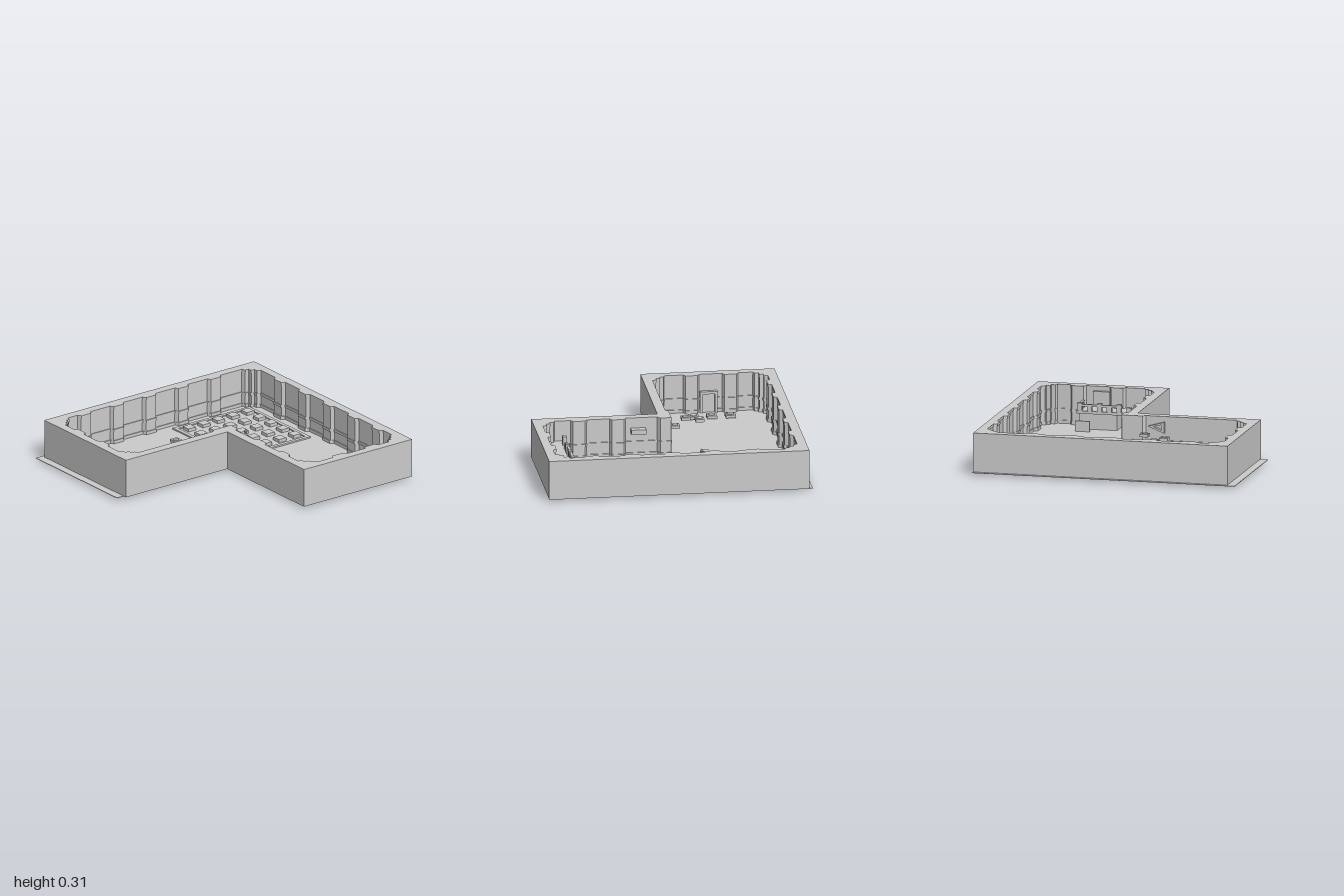
import * as THREE from 'three';

const mat = new THREE.MeshStandardMaterial({ color: 0xcccccc, flatShading: true, side: THREE.DoubleSide });

export function createModel() {
  const root = new THREE.Group();

  const add = (name, geometry) => {
    const m = new THREE.Mesh(geometry, mat);
    m.name = name;
    root.add(m);
    return m;
  };
  // Box given by its limits on each axis
  const box = (name, x0, x1, y0, y1, z0, z1) => {
    const m = add(name, new THREE.BoxGeometry(x1 - x0, y1 - y0, z1 - z0));
    m.position.set((x0 + x1) / 2, (y0 + y1) / 2, (z0 + z1) / 2);
    return m;
  };
  const toShape = (pts) => new THREE.Shape(pts.map(([x, z]) => new THREE.Vector2(x, z)));
  // Plan outline (x, z) raised between two heights
  const slab = (name, pts, y0, y1, hole) => {
    const s = toShape(pts);
    if (hole) s.holes.push(toShape(hole));
    const g = new THREE.ExtrudeGeometry(s, { depth: y1 - y0, bevelEnabled: false });
    g.rotateX(Math.PI / 2).translate(0, y1, 0);
    return add(name, g);
  };
  const rect = (x0, x1, z0, z1) => [[x0, z0], [x1, z0], [x1, z1], [x0, z1]];

  // Inner outline of the room: straight runs with pillars and stepped corners
  const outer = [[-0.96, -1], [0.98, -1], [0.98, 0], [0.04, 0], [0.04, 0.94], [-0.96, 0.94]];
  const corners = [[-0.89, -0.935], [0.915, -0.935], [0.915, -0.07], [-0.03, -0.07], [-0.03, 0.875], [-0.89, 0.875]];
  const pillars = [
    [0.34, 0.64, 0.94, 1.24, 1.54],
    [0.26, 0.56],
    [0.28, 0.57],
    [],
    [0.3, 0.59],
    [0.25, 0.55, 0.85, 1.15, 1.45],
  ];
  const outline = (inset) => {
    const pts = [];
    corners.forEach((a, i) => {
      const b = corners[(i + 1) % 6];
      const len = Math.hypot(b[0] - a[0], b[1] - a[1]);
      const d = [(b[0] - a[0]) / len, (b[1] - a[1]) / len];
      const put = (t, n) => pts.push([a[0] + d[0] * t - d[1] * (n + inset), a[1] + d[1] * t + d[0] * (n + inset)]);
      const nook = 3; // the corner that juts into the room
      if (i === nook) {
        put(-0.03, 0.022);
        put(0.13, 0.022);
        put(0.15, 0);
      } else {
        put(0.03, 0.06);
        put(0.06, 0.06);
        put(0.06, 0.03);
        put(0.09, 0.03);
        put(0.1, 0);
      }
      pillars[i].forEach((t) => {
        put(t - 0.06, 0);
        put(t - 0.045, 0.027);
        put(t + 0.045, 0.027);
        put(t + 0.06, 0);
      });
      if (i === nook - 1) {
        put(len - 0.08, 0);
        put(len - 0.06, 0.03);
        put(len + 0.022, 0.03);
      } else {
        put(len - 0.1, 0);
        put(len - 0.09, 0.03);
        put(len - 0.06, 0.03);
      }
    });
    return pts;
  };

  // Walls with recessed panels, skirting, rail and top band
  slab('wallBase', outer, 0.02, 0.045, outline(0.004));
  slab('wallLower', outer, 0.045, 0.115, outline(-0.003));
  slab('wallRail', outer, 0.115, 0.135, outline(0.004));
  slab('wallUpper', outer, 0.135, 0.295, outline(-0.003));
  slab('wallTop', outer, 0.295, 0.315, outline(0));

  // Floor sheet, slightly offset from the walls
  slab('floor', [[-0.985, -1], [0.95, -1], [0.95, -0.002], [0.01, -0.002], [0.01, 1], [-0.985, 1]], 0.017, 0.021);

  // Sunken tile field with its frame
  slab('tileFrame', rect(-0.83, -0.08, -0.86, -0.15), 0, 0.032, rect(-0.8, -0.11, -0.83, -0.18));
  box('tileBed', -0.8, -0.11, 0.01, 0.024, -0.83, -0.18);
  for (let i = 0; i < 5; i++) {
    for (let j = 0; j < 5; j++) {
      const x = -0.745 + i * 0.143, z = -0.78 + j * 0.135;
      box('tile', x - 0.035, x + 0.035, 0.02, 0.048, z - 0.035, z + 0.035);
    }
  }

  // Small figure on the tiles, and a cube beside the field
  const figure = add('figure', new THREE.LatheGeometry(
    [[0, 0], [0.022, 0], [0.022, 0.015], [0.01, 0.03], [0.016, 0.065], [0.008, 0.08], [0.014, 0.095], [0, 0.115]]
      .map(([r, y]) => new THREE.Vector2(r, y)), 8));
  figure.position.set(-0.24, 0.045, -0.38);
  box('figureBase', -0.265, -0.215, 0.022, 0.05, -0.405, -0.355);
  box('cube', -0.322, -0.278, 0.03, 0.075, -0.202, -0.158);

  // Square platforms with a round top: three on the floor, three floating
  const platform = (x, z, y, s) => {
    box('platform', x - s / 2, x + s / 2, y - 0.022, y, z - s / 2, z + s / 2);
    const disc = add('platformDisc', new THREE.CylinderGeometry(s * 0.36, s * 0.36, 0.006, 12));
    disc.position.set(x, y + 0.002, z);
  };
  [-0.6, -0.46, -0.325].forEach((x) => platform(x, 0.705, 0.055, 0.075));
  [[-0.105, 0.09], [-0.305, 0.215], [-0.205, 0.265]].forEach(([x, z]) => platform(x, z, 0.195, 0.065));

  // Doorway on the front wall
  box('doorLintel', -0.525, -0.395, 0.165, 0.185, 0.85, 0.885);
  [-0.525, -0.415].forEach((x) => box('doorPost', x, x + 0.02, 0.021, 0.165, 0.85, 0.885));
  box('door', -0.505, -0.415, 0.021, 0.165, 0.865, 0.885);

  // Shelf, triangular bracket and panel fixed to the walls
  box('wallShelf', 0.138, 0.248, 0.2, 0.235, -0.12, -0.06);
  const tri = new THREE.Shape([[0.1, 0.24], [0.225, 0.19], [0.225, 0.275]].map(([a, b]) => new THREE.Vector2(a, b)));
  tri.holes.push(new THREE.Path([[0.14, 0.24], [0.205, 0.212], [0.205, 0.255]].map(([a, b]) => new THREE.Vector2(a, b))));
  const bracket = add('wallBracket', new THREE.ExtrudeGeometry(tri, { depth: 0.025, bevelEnabled: false }));
  bracket.rotation.y = -Math.PI / 2;
  bracket.position.x = -0.028;
  box('wallPanel', 0.89, 0.925, 0.17, 0.28, -0.56, -0.43);

  // Balcony in the right-hand end, with rail, posts and support
  box('balconyDeck', 0.735, 0.92, 0.14, 0.16, -0.645, -0.065);
  box('balconySupport', 0.755, 0.89, 0.015, 0.14, -0.63, -0.34);
  box('balconyRail', 0.74, 0.76, 0.195, 0.21, -0.64, -0.3);
  box('balconyRailEnd', 0.76, 0.885, 0.195, 0.21, -0.64, -0.62);
  for (let i = 0; i < 6; i++) {
    const z = -0.64 + i * 0.075;
    box('balconyPost', 0.738, 0.768, 0.16, i % 2 ? 0.2 : 0.22, z, z + 0.035);
  }
  [0.8, 0.85].forEach((x) => box('balconyPost', x, x + 0.02, 0.16, 0.2, -0.642, -0.618));
  box('balconyEndPost', 0.738, 0.768, 0.16, 0.225, -0.175, -0.13);

  // Thin upright panel in front of the balcony
  box('uprightPanel', 0.66, 0.674, 0.016, 0.1, -0.635, -0.525);

  return root;
}
